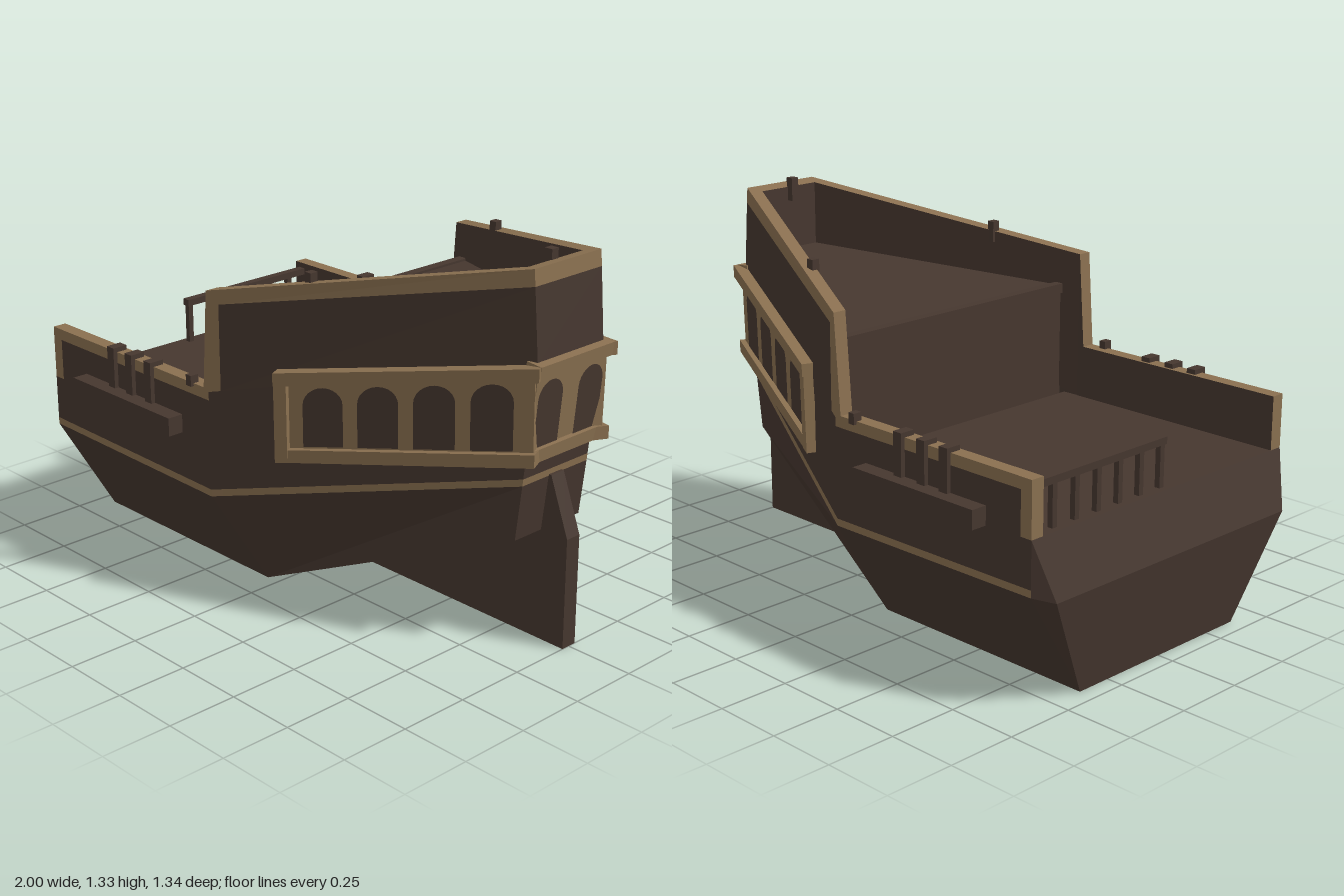
import * as THREE from 'three';

export function createModel() {
  const model = new THREE.Group();
  const darkWood = new THREE.MeshStandardMaterial({ color: 0x46372f, side: THREE.DoubleSide });
  darkWood.name = 'darkWood';
  const tanTrim = new THREE.MeshStandardMaterial({ color: 0x8a7050, side: THREE.DoubleSide });
  tanTrim.name = 'tanTrim';

  const add = (name, geo, mat, parent = model) => {
    const m = new THREE.Mesh(geo, mat);
    m.name = name;
    parent.add(m);
    return m;
  };
  const box = (name, x0, x1, y0, y1, z0, z1, mat) => {
    const g = new THREE.BoxGeometry(x1 - x0, y1 - y0, z1 - z0);
    g.translate((x0 + x1) / 2, (y0 + y1) / 2, (z0 + z1) / 2);
    return add(name, g, mat);
  };

  // Planked surfaces: faces are collected by colour, flat shaded
  const makeSkin = () => {
    const pos = [];
    const tri = (a, b, c) => pos.push(...a, ...b, ...c);
    const poly = (...p) => { for (let i = 1; i < p.length - 1; i++) tri(p[0], p[i], p[i + 1]); };
    const flip = ([x, y, z]) => [x, y, -z];
    return {
      // a face and its mirror image
      pair: (...p) => { poly(...p); poly(...p.map(flip).reverse()); },
      // a strip spanning from +z to -z between two points
      span: (a, b) => poly(a, flip(a), flip(b), b),
      build: (name, mat) => {
        const g = new THREE.BufferGeometry();
        g.setAttribute('position', new THREE.Float32BufferAttribute(pos, 3));
        g.computeVertexNormals();
        add(name, g, mat);
      },
    };
  };
  const dark = makeSkin(), tan = makeSkin();

  // Key dimensions
  const W = 0.61, SW = 0.155, FX = -0.94, BX = -0.065, DECK = 0.57;
  const lerp = (a, b, t) => a.map((v, i) => v + (b[i] - v) * t);

  // Aft side walls and transom, in rows from the wale to the rail
  const breakY = [0.375, 0.4, 0.75, 1.05, 1.1];
  const sternXY = [[0.914, 0.585], [0.917, 0.61], [0.96, 1.0], [0.94, 1.245], [0.935, 1.3]];
  const aft = (t, r) => lerp([BX, breakY[r], W], [...sternXY[r], SW], t);
  const cols = [0, 0.04, 1];
  for (let r = 0; r < 4; r++) {
    for (let c = 0; c < 2; c++) {
      const isTan = r === 0 || r === 3 || (r === 2 && c === 0);
      (isTan ? tan : dark).pair(aft(cols[c], r), aft(cols[c + 1], r), aft(cols[c + 1], r + 1), aft(cols[c], r + 1));
    }
    (r === 0 || r === 3 ? tan : dark).span(aft(1, r), aft(1, r + 1));
  }

  // Forward side walls with wale, rail and end trim
  const side = (skin, x0, x1, a0, a1, b0, b1) =>
    skin.pair([x0, a0, W], [x1, a1, W], [x1, b1, W], [x0, b0, W]);
  side(tan, FX, BX, 0.385, 0.375, 0.41, 0.4);
  side(dark, FX, BX, 0.41, 0.4, DECK, DECK);
  side(tan, FX, -0.895, DECK, DECK, 0.72, 0.72);
  side(dark, -0.895, BX, DECK, DECK, 0.72, 0.72);
  side(tan, FX, BX, 0.72, 0.72, 0.76, 0.76);
  tan.pair([-0.09, 0.76, W], [BX, 0.76, W], [BX, 1.1, W]);

  // Lower hull, bottom and run up to the stern
  const keelF = [FX, 0, 0.38], keelM = [-0.05, 0, 0.38], keelS = [0.89, 0.39, SW];
  const waleF = [FX, 0.385, W], waleM = aft(0, 0), waleS = aft(1, 0);
  dark.pair(keelF, keelM, waleM, waleF);
  dark.pair(keelM, keelS, waleS, waleM);
  dark.span(keelF, keelM);
  dark.span(keelM, keelS);
  dark.span(keelS, waleS);

  // Bulged forward end
  const bulge = [-1, 0.37, 0.56], endTop = [FX, DECK, W];
  dark.span(keelF, bulge);
  dark.span(bulge, endTop);
  dark.pair(keelF, waleF, bulge);
  dark.pair(bulge, waleF, endTop);

  // Inner bulwarks, rail caps and bulwark ends
  const IZ = 0.56, innerS = [0.885, 1.29, 0.125], innerB = [BX, 1.1, IZ];
  dark.pair([FX, DECK, IZ], [FX, 0.76, IZ], [BX, 0.76, IZ], [BX, DECK, IZ]);
  dark.pair([BX, DECK, IZ], innerB, innerS, [0.885, 1.0, 0.125]);
  dark.span(innerS, [0.885, 1.0, 0.125]);
  tan.pair([FX, 0.76, W], [-0.09, 0.76, W], [-0.09, 0.76, IZ], [FX, 0.76, IZ]);
  tan.pair([-0.09, 0.76, W], [BX, 1.1, W], innerB, [-0.09, 0.76, IZ]);
  dark.pair([-0.09, 0.76, IZ], innerB, [BX, 0.76, IZ]);
  tan.pair([BX, 1.1, W], aft(1, 4), innerS, innerB);
  tan.span(aft(1, 4), innerS);
  tan.pair([FX, DECK, W], [FX, 0.76, W], [FX, 0.76, IZ], [FX, DECK, IZ]);

  // Decks and the step between them
  dark.span([FX, DECK, 0.6], [0, DECK, 0.56]);
  dark.span([0, 0.98, 0.535], [0.89, 1.06, 0.13]);
  dark.span([0, DECK, 0.535], [0, 0.98, 0.535]);
  dark.build('hullPlanking', darkWood);
  tan.build('hullTrim', tanTrim);
  box('deckStepBeam', -0.015, 0.02, 0.955, 0.99, -0.525, 0.525, darkWood);

  // Keel and rudder blade
  const blade = new THREE.Shape([[-0.05, 0], [1, 0], [1, 0.39], [0.925, 0.59], [0.88, 0.59], [0.85, 0.38]]
    .map(p => new THREE.Vector2(...p)));
  const bladeGeo = new THREE.ExtrudeGeometry(blade, { depth: 0.06, bevelEnabled: false });
  add('rudder', bladeGeo.translate(0, 0, -0.03), darkWood);

  // Window galleries: local x runs along the wall, z points outward, pivot at y = 1
  const gallery = (name, x, z, turn, lean, m) => {
    const g = new THREE.Group();
    g.name = name;
    g.position.set(x, 1, z);
    g.rotation.set(lean, turn, 0, 'YXZ');
    model.add(g);
    const shape = pts => new THREE.Shape(pts.map(([s, y]) => new THREE.Vector2(s * m, y - 1)));
    return {
      slab: (part, pts, out) => {
        const geo = new THREE.ExtrudeGeometry(shape(pts), { depth: out + 0.03, bevelEnabled: false });
        add(part, geo.translate(0, 0, -0.03), tanTrim, g);
      },
      // arched pane, sheared to follow the slope of the gallery
      pane: (s, y, w, h, slope, out) => {
        const pts = [[-w / 2, 0], [w / 2, 0]];
        for (let i = 0; i <= 12; i++) {
          const a = Math.PI * i / 12;
          pts.push([w / 2 * Math.cos(a), h - 0.06 + 0.06 * Math.sin(a)]);
        }
        const geo = new THREE.ShapeGeometry(shape(pts.map(([u, v]) => [s + u, y + v + slope * u])));
        add('windowPane', geo.translate(0, 0, out), darkWood, g);
      },
    };
  };

  const angle = Math.atan2(W - SW, 0.96 - BX);
  const S0 = 0.25, S1 = 1.14;
  const top = s => 0.865 + (s - S0) * 0.158;
  const low = s => 0.55 + (s - S0) * 0.14;
  const band = (a, b, lo, hi) => [[a, lo(a)], [b, lo(b)], [b, hi(b)], [a, hi(a)]];
  for (const m of [1, -1]) {
    const g = gallery(m > 0 ? 'leftGallery' : 'rightGallery', BX, W * m, m > 0 ? angle : Math.PI - angle, 0.02, m);
    g.slab('galleryPanel', band(S0 + 0.01, 1.12, s => low(s) + 0.01, s => top(s) - 0.01), 0.016);
    g.slab('upperMoulding', band(S0, S1, s => top(s) - 0.045, top), 0.042);
    g.slab('lowerMoulding', band(S0, S1 - 0.01, low, s => low(s) + 0.045), 0.036);
    g.slab('endPost', band(S0, S0 + 0.045, low, top), 0.038);
    for (let i = 0; i < 4; i++) {
      const s = 0.415 + i * 0.19;
      g.pane(s, 0.625 + i * 0.026, 0.14, 0.205 + i * 0.006, 0.14, 0.02);
    }
  }

  const stern = gallery('sternGallery', 0.96, 0, Math.PI / 2, 0.1, 1);
  const flat = (hw, y0, y1) => [[-hw, y0], [hw, y0], [hw, y1], [-hw, y1]];
  stern.slab('galleryPanel', flat(0.162, 0.7, 0.98), 0.012);
  stern.slab('upperMoulding', flat(0.172, 0.963, 1.008), 0.03);
  stern.slab('lowerMoulding', flat(0.165, 0.675, 0.72), 0.03);
  for (const s of [-0.095, 0.095]) stern.pane(s, 0.72, 0.115, 0.225, 0, 0.016);

  // Side ledges with their posts, and small pegs on the rails
  for (const m of [1, -1]) {
    const sideBox = (name, x0, x1, y0, y1, z0, z1) =>
      box(name, x0, x1, y0, y1, Math.min(z0 * m, z1 * m), Math.max(z0 * m, z1 * m), darkWood);
    sideBox('sideLedge', -0.75, -0.21, 0.565, 0.63, 0.6, 0.668);
    for (const x of [-0.58, -0.48, -0.375]) sideBox('ledgePost', x - 0.018, x + 0.018, 0.63, 0.777, 0.57, 0.626);
    sideBox('railPeg', -0.168, -0.142, 0.75, 0.788, 0.59, 0.622);
    sideBox('upperRailPeg', 0.23, 0.258, 1.12, 1.195, 0.415, 0.445);
  }
  box('sternPeg', 0.86, 0.89, 1.24, 1.325, -0.005, 0.025, darkWood);

  // Railing across half of the forward deck edge
  box('railingBar', -0.922, -0.892, 0.715, 0.74, -0.56, 0.03, darkWood);
  for (let i = 0; i < 6; i++) {
    const z = 0.015 - i * 0.1;
    box('railingPost', -0.917, -0.897, DECK, 0.72, z - 0.01, z + 0.01, darkWood);
  }
  return model;
}
